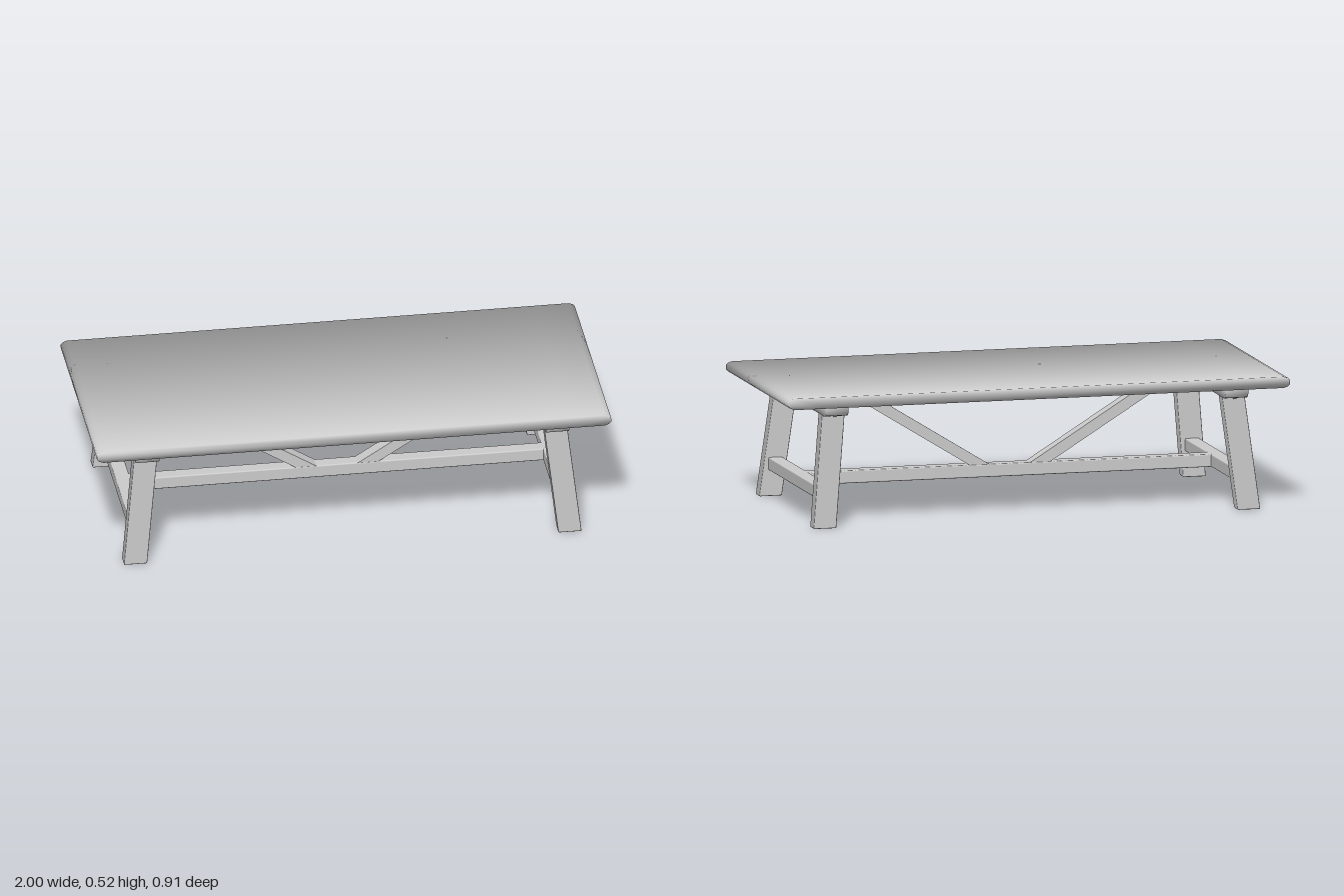
import * as THREE from 'three';
import { RoundedBoxGeometry } from 'three/addons/geometries/RoundedBoxGeometry.js';

const wood = new THREE.MeshStandardMaterial({ color: 0xcccccc });
wood.name = 'plain wood';

function add(parent, name, geometry, x = 0, y = 0, z = 0) {
  const mesh = new THREE.Mesh(geometry, wood);
  mesh.name = name;
  mesh.position.set(x, y, z);
  parent.add(mesh);
  return mesh;
}

// Convex counter-clockwise outline extruded along z, with normals shared over its end edges
function softPrism(points, depth) {
  const n = points.length, positions = [], normals = [], index = [];
  const edge = (i) => {
    const a = points[i % n], b = points[(i + 1) % n];
    return new THREE.Vector2(b[1] - a[1], a[0] - b[0]).normalize();
  };
  for (const s of [1, -1]) {
    points.forEach(([x, y], i) => {
      const e = edge(i).add(edge(i + n - 1)).normalize();
      const normal = new THREE.Vector3(e.x, e.y, s).normalize();
      positions.push(x, y, s * depth / 2);
      normals.push(normal.x, normal.y, normal.z);
    });
  }
  for (let i = 0; i < n; i++) {
    const j = (i + 1) % n;
    index.push(i, i + n, j, j, i + n, j + n);
    if (i > 0 && i < n - 1) index.push(0, i, j, n, j + n, i + n);
  }
  const geometry = new THREE.BufferGeometry();
  geometry.setAttribute('position', new THREE.Float32BufferAttribute(positions, 3));
  geometry.setAttribute('normal', new THREE.Float32BufferAttribute(normals, 3));
  geometry.setIndex(index);
  return geometry;
}

// Leg block sheared so that it splays outwards towards the floor
function legGeometry(sx, sz) {
  const height = 0.437;
  const geometry = new RoundedBoxGeometry(0.09, height, 0.056, 2, 0.004);
  geometry.translate(0, height / 2, 0);
  const p = geometry.attributes.position;
  for (let i = 0; i < p.count; i++) {
    const t = p.getY(i) / height;
    p.setX(i, p.getX(i) + sx * (0.845 - 0.048 * t));
    p.setZ(i, p.getZ(i) + sz * (0.395 - 0.053 * t));
  }
  return geometry;
}

export function createModel() {
  const table = new THREE.Group();
  table.name = 'trestleTable';

  // Tabletop with eased ends
  const half = [[0.85, 0.473], [0.975, 0.473], [0.992, 0.479], [1, 0.488],
    [1, 0.502], [0.992, 0.511], [0.975, 0.517], [0.85, 0.517]];
  const mirrored = half.map(([x, y]) => [-x, y]).reverse();
  add(table, 'tabletop', softPrism([...half, ...mirrored], 0.91));

  // Bearer outline with rounded lower corners
  const bearerHalf = [[0.398, 0.433], [0.411, 0.437], [0.42, 0.446], [0.423, 0.458], [0.423, 0.475]];
  const bearer = softPrism([...bearerHalf, ...bearerHalf.map(([z, y]) => [-z, y]).reverse()], 0.09);
  bearer.rotateY(Math.PI / 2);

  // Diagonal brace, cut level at both ends
  const braceShape = new THREE.Shape([[0.08, 0.153], [0.16, 0.153], [0.68, 0.475], [0.6, 0.475]]
    .map(([x, y]) => new THREE.Vector2(x, y)));
  const braceGeometry = new THREE.ExtrudeGeometry(braceShape, { depth: 0.056, bevelEnabled: false });
  braceGeometry.translate(0, 0, -0.028);

  for (const sx of [1, -1]) {
    const side = sx > 0 ? 'left' : 'right';
    const trestle = new THREE.Group();
    trestle.name = side + 'Trestle';
    table.add(trestle);

    add(trestle, 'bearer', bearer, sx * 0.797);
    add(trestle, 'endRail', new RoundedBoxGeometry(0.056, 0.05, 0.71, 2, 0.005), sx * 0.83, 0.129, 0);
    for (const sz of [1, -1]) {
      add(trestle, sz > 0 ? 'frontLeg' : 'backLeg', legGeometry(sx, sz));
    }

    // Fixing plugs under the bearer
    for (const z of [-0.388, 0, 0.388]) {
      add(trestle, 'plug', new THREE.CylinderGeometry(0.008, 0.006, 0.008, 12), sx * 0.797, 0.432, z);
    }

    const brace = add(table, side + 'Brace', braceGeometry);
    if (sx < 0) brace.rotation.y = Math.PI;
  }

  // Long stretcher joining the trestles
  add(table, 'stretcher', new RoundedBoxGeometry(1.62, 0.05, 0.056, 2, 0.005), 0, 0.129, 0);

  return table;
}
